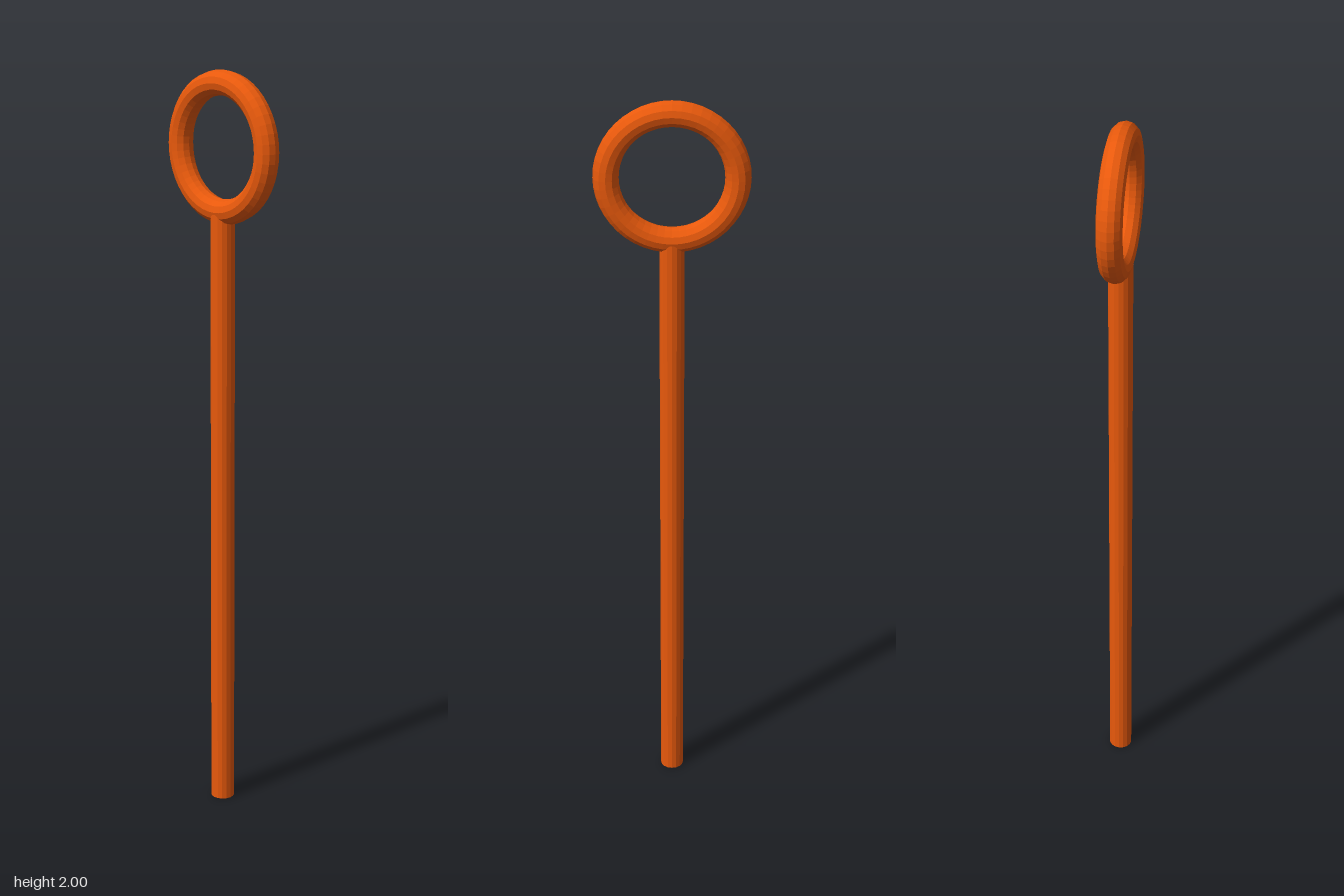
import * as THREE from 'three';

export function createModel() {
  const model = new THREE.Group();
  const material = new THREE.MeshStandardMaterial({ color: 0xe8590c, flatShading: true });
  const thickness = 0.0325; // shared radius of rod and ring stock
  const ringRadius = 0.1635;
  const rodHeight = 1.635;

  const add = (name, geometry, y) => {
    const mesh = new THREE.Mesh(geometry, material);
    mesh.name = name;
    mesh.position.y = y;
    model.add(mesh);
    return mesh;
  };

  // Straight round rod, its top sunk into the ring
  add('rod', new THREE.CylinderGeometry(thickness * 0.98, thickness * 0.98, rodHeight, 16), rodHeight / 2);

  // Upright ring, its hole facing sideways
  const ring = add('ring', new THREE.TorusGeometry(ringRadius, thickness, 12, 48), 2 - ringRadius - thickness);
  ring.rotation.y = Math.PI / 2;

  return model;
}
